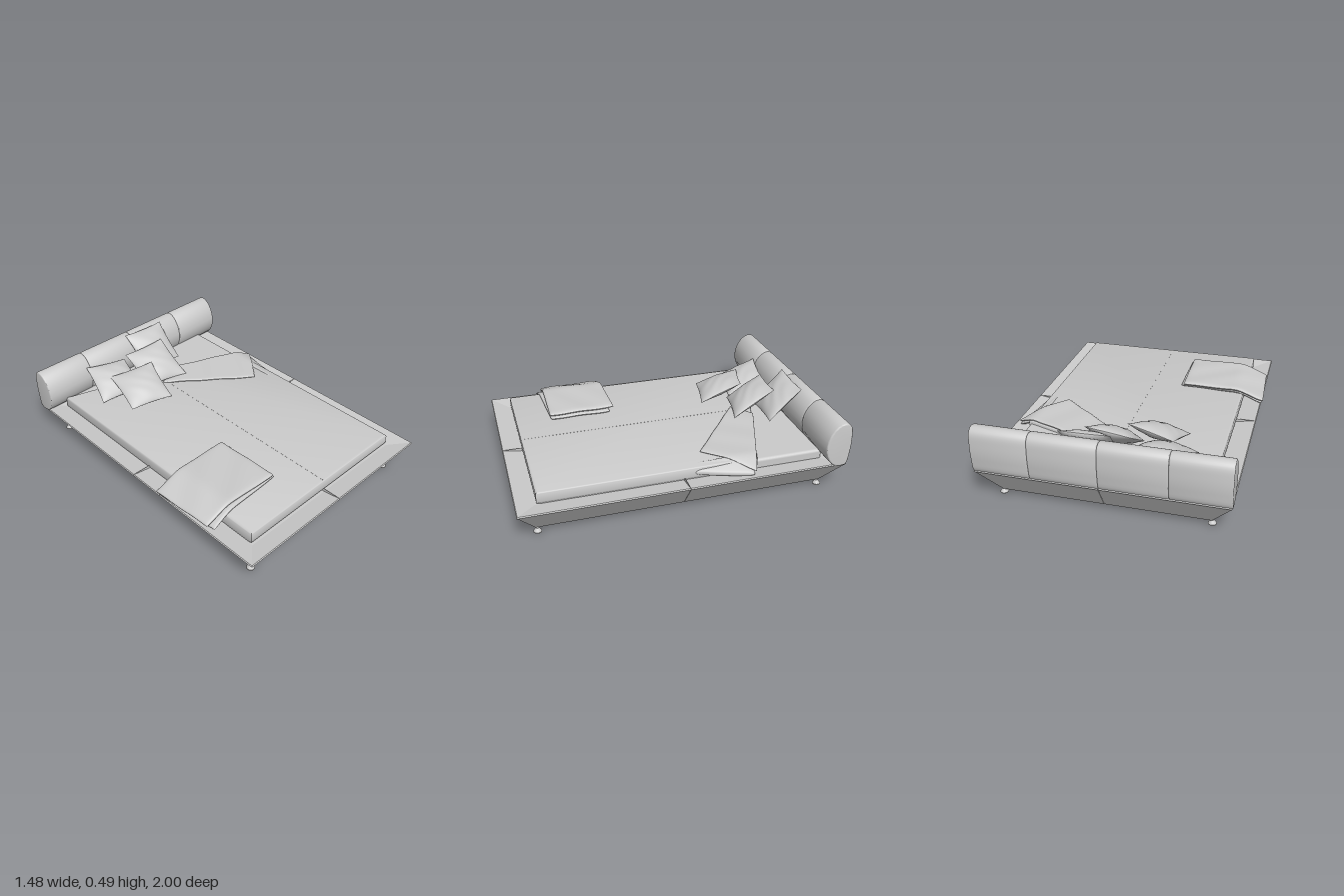
import * as THREE from 'three';
import { toCreasedNormals, mergeVertices } from 'three/addons/utils/BufferGeometryUtils.js';
import { RoundedBoxGeometry } from 'three/addons/geometries/RoundedBoxGeometry.js';

const material = new THREE.MeshStandardMaterial({ color: 0xcccccc });
const softMaterial = new THREE.MeshStandardMaterial({ color: 0xcccccc, side: THREE.DoubleSide });

function add(parent, name, geometry, mat = material) {
  const mesh = new THREE.Mesh(geometry, mat);
  mesh.name = name;
  parent.add(mesh);
  return mesh;
}

// Solid through rectangular rings [x0, x1, z0, z1, y], listed from bottom to top
function rectLoft(rings) {
  const pos = [];
  const corners = ([x0, x1, z0, z1, y]) => [[x0, y, z0], [x0, y, z1], [x1, y, z1], [x1, y, z0]];
  const quad = (a, b, c, d) => pos.push(...a, ...b, ...c, ...a, ...c, ...d);
  for (let r = 0; r < rings.length - 1; r++) {
    const a = corners(rings[r]), b = corners(rings[r + 1]);
    for (let i = 0; i < 4; i++) {
      const j = (i + 1) % 4;
      quad(a[i], a[j], b[j], b[i]);
    }
  }
  quad(...corners(rings[0]).reverse());
  quad(...corners(rings[rings.length - 1]));
  const g = new THREE.BufferGeometry();
  g.setAttribute('position', new THREE.Float32BufferAttribute(pos, 3));
  g.computeVertexNormals();
  return g;
}

// Padded cloth between four corners (bottom left, bottom right, top right, top left);
// a high power gives a flat slab, a power of 2 a plump cushion
function padded([bl, br, tr, tl], { thick, power = 2, round = 0.5, pinch = 0, ripple = 0, shape, n = 28 }) {
  const P = [bl, br, tr, tl].map(p => new THREE.Vector3(...p));
  const normal = P[2].clone().sub(P[0]).cross(P[3].clone().sub(P[1])).normalize();
  const pos = [], index = [];
  for (const side of [1, -1]) {
    const base = pos.length / 3;
    for (let j = 0; j <= n; j++) for (let i = 0; i <= n; i++) {
      const a = -Math.cos(Math.PI * i / n), b = -Math.cos(Math.PI * j / n);
      const u = 0.5 + 0.5 * a * (1 - pinch * (1 - b * b));
      const v = 0.5 + 0.5 * b * (1 - pinch * (1 - a * a));
      const p = P[0].clone().lerp(P[1], u).lerp(P[3].clone().lerp(P[2], u), v);
      const full = Math.max(0, (1 - Math.abs(a) ** power) * (1 - Math.abs(b) ** power)) ** round;
      const crease = ripple * Math.sin(7 * a + 5 * b + 2 * Math.sin(3 * b)) * full;
      p.addScaledVector(normal, side * thick / 2 * full + crease);
      if (shape) shape(p);
      pos.push(p.x, p.y, p.z);
    }
    for (let j = 0; j < n; j++) for (let i = 0; i < n; i++) {
      const k = base + j * (n + 1) + i, m = k + n + 1;
      if (side > 0) index.push(k, k + 1, m + 1, k, m + 1, m);
      else index.push(k, m + 1, k + 1, k, m, m + 1);
    }
  }
  const g = new THREE.BufferGeometry();
  g.setAttribute('position', new THREE.Float32BufferAttribute(pos, 3));
  g.setIndex(index);
  g.computeVertexNormals();
  return g;
}

export function createModel() {
  const bed = new THREE.Group();
  bed.name = 'bed';

  // Tapered frame in four quarters with fine seams between them
  const frame = new THREE.Group();
  frame.name = 'frame';
  bed.add(frame);
  const gap = 0.0012;
  const sections = [[0.615, 0.885, 0.027], [0.727, 0.983, 0.182], [0.733, 0.992, 0.19],
    [0.728, 0.987, 0.196], [0.612, 0.878, 0.178]];
  for (const sx of [-1, 1]) for (const sz of [-1, 1]) {
    add(frame, 'frameQuarter', rectLoft(sections.map(([x, z, y]) => [
      0.003 + (sx < 0 ? -x : gap), 0.003 + (sx < 0 ? -gap : x),
      0.008 + (sz < 0 ? -z : gap), 0.008 + (sz < 0 ? -gap : z), y])));
    // Small flared feet
    const foot = add(bed, 'foot', new THREE.CylinderGeometry(0.009, 0.025, 0.022, 20));
    foot.position.set(0.003 + sx * 0.615, 0.014, 0.01 + sz * 0.873);
    const pad = add(bed, 'footPad', new THREE.CylinderGeometry(0.025, 0.025, 0.004, 20));
    pad.position.set(foot.position.x, 0.002, foot.position.z);
  }

  // Mattress
  const mattress = add(bed, 'mattress', new RoundedBoxGeometry(1.215, 0.07, 1.75, 4, 0.018));
  mattress.position.set(0.004, 0.202, -0.005);

  // Bed cover with its far corner turned back
  const b = 0.014;
  const outline = [[-0.607, 0.877], [0.618, 0.877], [0.618, -0.45], [0.1, -0.63], [-0.2, -0.74], [-0.607, -0.86]];
  const coverShape = new THREE.Shape(outline.map(([x, z]) => new THREE.Vector2(x, z)));
  const cover = new THREE.ExtrudeGeometry(coverShape, {
    depth: 0.075 - 2 * b, bevelThickness: b, bevelSize: b, bevelOffset: -b, bevelSegments: 4
  });
  cover.rotateX(Math.PI / 2).translate(0, 0.256 - b, 0);
  add(bed, 'cover', toCreasedNormals(cover, 0.6));
  const seam = add(bed, 'coverSeam', new THREE.BoxGeometry(0.003, 0.002, 1.4));
  seam.position.set(0.003, 0.2558, 0.165);

  // Turned-back corner and the edge draping over the side
  const sag = (p) => {
    p.y -= 0.045 * THREE.MathUtils.smoothstep(p.x, 0.57, 0.72);
    p.y += 0.002 * Math.sin(p.x * 22 + p.z * 15);
  };
  add(bed, 'coverFold', padded(
    [[-0.03, 0.264, -0.53], [0.47, 0.264, -0.135], [0.705, 0.266, -0.41], [0.1, 0.264, -0.64]],
    { thick: 0.018, power: 24, shape: sag }), softMaterial);
  add(bed, 'coverDrape', padded(
    [[0.56, 0.245, -0.06], [0.622, 0.228, -0.06], [0.70, 0.238, -0.4], [0.56, 0.25, -0.46]],
    { thick: 0.035, power: 10, shape: sag }), softMaterial);

  // Folded throw, two layers, hanging over the side
  const hang = (p) => {
    p.y -= 0.062 * (1 - THREE.MathUtils.smoothstep(p.x, -0.76, -0.54));
    p.y += 0.002 * Math.sin(p.x * 16 + p.z * 24);
  };
  add(bed, 'throwLower', padded(
    [[-0.70, 0.267, 0.685], [-0.19, 0.267, 0.655], [-0.19, 0.267, 0.265], [-0.735, 0.267, 0.25]],
    { thick: 0.026, power: 20, shape: hang }), softMaterial);
  add(bed, 'throwUpper', padded(
    [[-0.725, 0.29, 0.65], [-0.20, 0.288, 0.66], [-0.21, 0.288, 0.235], [-0.745, 0.29, 0.24]],
    { thick: 0.028, power: 20, shape: hang }), softMaterial);

  // Headboard: four padded segments, rounded in front and flatter behind
  const headboard = new THREE.Group();
  headboard.name = 'headboard';
  bed.add(headboard);
  const profile = [[0.905, 0.19], [0.86, 0.235], [0.838, 0.315], [0.857, 0.40], [0.905, 0.457],
    [0.955, 0.469], [0.988, 0.445], [0.999, 0.37], [0.995, 0.27], [0.975, 0.19]];
  const smooth = new THREE.CatmullRomCurve3(profile.map(([z, y]) => new THREE.Vector3(z, y, 0)), true);
  const side = new THREE.Shape(smooth.getPoints(48).slice(0, -1).map(p => new THREE.Vector2(p.x, p.y)));
  const cuts = [-0.733, -0.39, 0.003, 0.4, 0.739];
  for (let i = 0; i < 4; i++) {
    const e = 0.008;
    const g = new THREE.ExtrudeGeometry(side, {
      depth: cuts[i + 1] - cuts[i] - 2 * e, bevelThickness: e, bevelSize: e, bevelOffset: -e, bevelSegments: 3
    });
    g.rotateY(Math.PI / 2).translate(cuts[i] + e, 0, 0);
    add(headboard, 'headboardSegment', toCreasedNormals(g, 0.7));
  }

  // Loose cushions leaning towards the headboard
  const cushions = [
    [[-0.485, 0.28, -0.605], [-0.17, 0.275, -0.57], [-0.14, 0.375, -0.81], [-0.425, 0.41, -0.855]],
    [[-0.04, 0.275, -0.69], [0.255, 0.275, -0.69], [0.257, 0.475, -0.895], [-0.05, 0.485, -0.9]],
    [[-0.15, 0.275, -0.55], [0.148, 0.275, -0.49], [0.15, 0.44, -0.755], [-0.145, 0.42, -0.785]],
    [[-0.395, 0.285, -0.41], [-0.105, 0.28, -0.35], [-0.06, 0.41, -0.61], [-0.35, 0.38, -0.695]]
  ];
  for (const corners of cushions) {
    add(bed, 'cushion', padded(corners,
      { thick: 0.095, power: 2, round: 0.65, pinch: 0.05, ripple: 0.002 }), softMaterial);
  }
  return bed;
}
